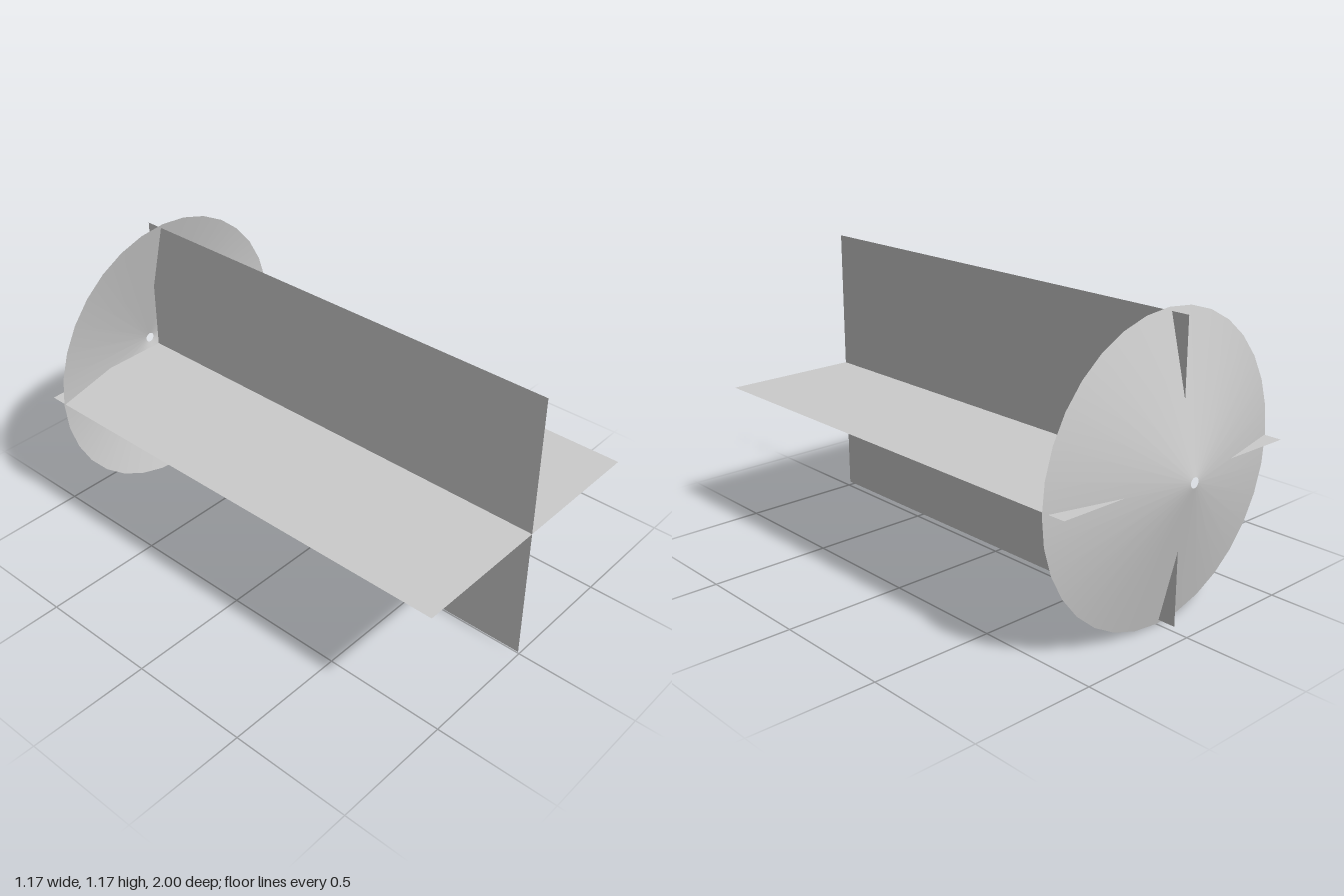
import * as THREE from 'three';

export function createModel() {
  const group = new THREE.Group();
  const material = new THREE.MeshStandardMaterial({ color: 0xcccccc, side: THREE.DoubleSide });

  const centerY = 0.592;
  const vaneX = -0.008, vaneWidth = 1.144;
  const vaneFront = 1, vaneBack = -0.935;
  const coneBase = -0.858, coneTip = -1;

  // Two thin vanes crossing at right angles along the long axis
  for (const [name, roll] of [['horizontalVane', 0], ['verticalVane', Math.PI / 2]]) {
    const geometry = new THREE.PlaneGeometry(vaneWidth, vaneFront - vaneBack);
    geometry.rotateX(-Math.PI / 2).rotateZ(roll);
    const vane = new THREE.Mesh(geometry, material);
    vane.name = name;
    vane.position.set(vaneX, centerY, (vaneFront + vaneBack) / 2);
    group.add(vane);
  }

  // Shallow open cone at the back, with a small hole at its tip
  const coneGeometry = new THREE.CylinderGeometry(0.02, 0.587, coneBase - coneTip, 32, 1, true);
  coneGeometry.rotateX(-Math.PI / 2);
  const cone = new THREE.Mesh(coneGeometry, material);
  cone.name = 'backCone';
  cone.position.set(0, centerY, (coneBase + coneTip) / 2);
  group.add(cone);

  return group;
}
